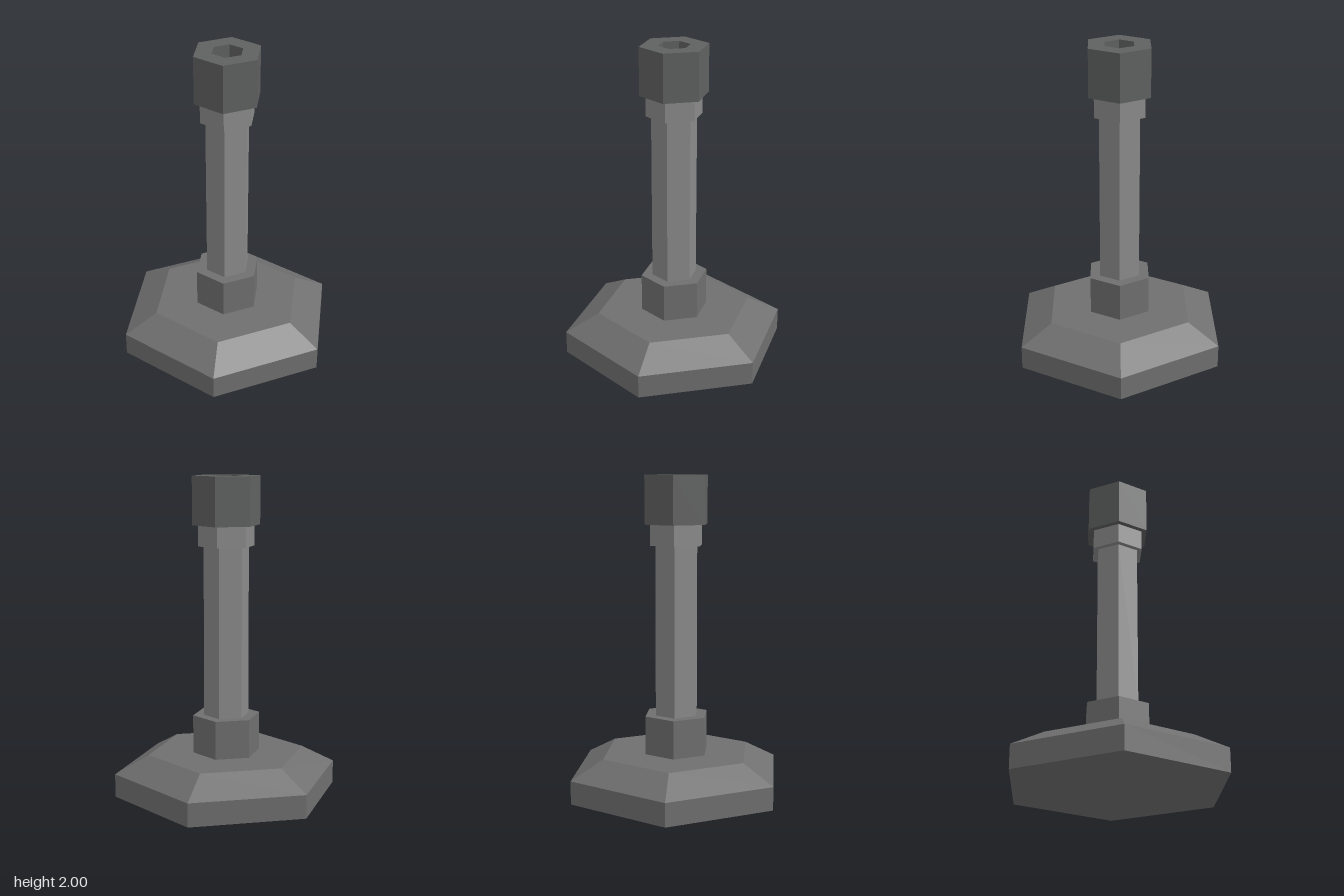
import * as THREE from 'three';

const paint = (color) => new THREE.MeshStandardMaterial({ color, flatShading: true });
const baseGrey = paint(0x6f6f6f);
const shaftGrey = paint(0x8a8a8a);
const headGrey = paint(0x5f6060);

// Six-sided body turned from [radius, y] points, with corners facing front and back
function hexPart(name, material, points) {
  const profile = points.map(([r, y]) => new THREE.Vector2(r, y));
  const mesh = new THREE.Mesh(new THREE.LatheGeometry(profile, 6), material);
  mesh.name = name;
  return mesh;
}

// Solid hexagonal prism between two heights
const hexPrism = (name, material, r, y0, y1) =>
  hexPart(name, material, [[0, y0], [r, y0], [r, y1], [0, y1]]);

export function createModel() {
  const model = new THREE.Group();
  model.name = 'hexPost';

  model.add(
    // Wide foot with a sloped upper rim
    hexPart('base', baseGrey, [[0, 0], [0.714, 0], [0.714, 0.147], [0.5, 0.26], [0, 0.26]]),
    // Nut that holds the shaft to the base
    hexPrism('lowerNut', baseGrey, 0.214, 0.26, 0.503),
    hexPrism('shaft', shaftGrey, 0.143, 0.503, 1.57),
    hexPrism('collar', shaftGrey, 0.177, 1.57, 1.7),
    // Hollow head: the collar closes the bottom of its socket
    hexPart('socketHead', headGrey, [[0.1, 1.7], [0.214, 1.7], [0.214, 2], [0.1, 2], [0.1, 1.7]])
  );
  return model;
}
